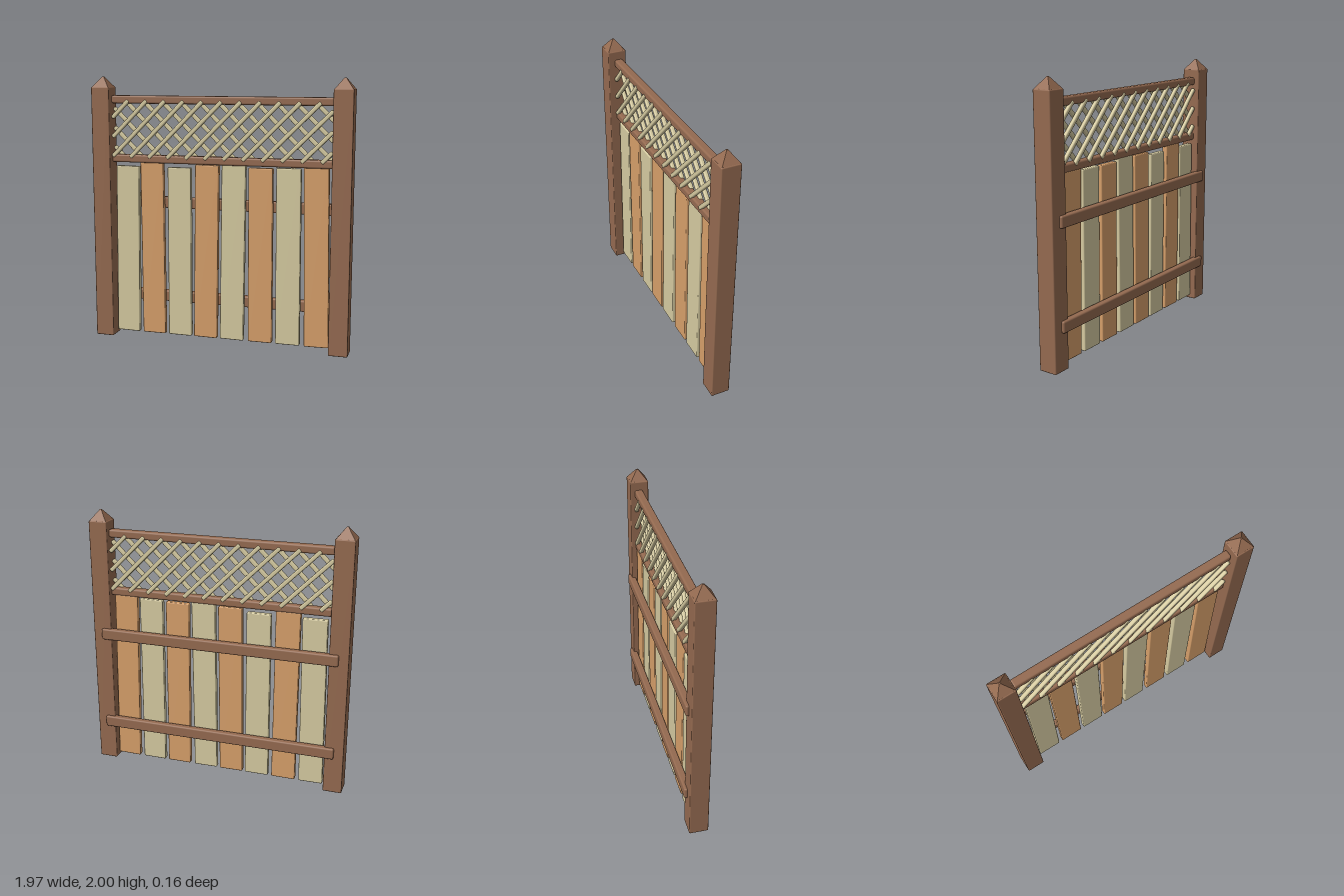
import * as THREE from 'three';
import { RoundedBoxGeometry } from 'three/addons/geometries/RoundedBoxGeometry.js';

export function createModel() {
  const fence = new THREE.Group();
  fence.name = 'fencePanel';

  const brown = new THREE.MeshStandardMaterial({ color: 0x946a50 });
  brown.name = 'dark brown wood';
  const orange = new THREE.MeshStandardMaterial({ color: 0xd69f6a });
  orange.name = 'orange wood';
  const cream = new THREE.MeshStandardMaterial({ color: 0xd5caa0 });
  cream.name = 'cream wood';

  // A softened wooden bar centred on (x, y, z), turned about z
  function bar(name, material, [w, h, d], [x, y, z], radius, turn = 0, parent = fence) {
    const mesh = new THREE.Mesh(new RoundedBoxGeometry(w, h, d, 2, radius), material);
    mesh.name = name;
    mesh.position.set(x, y, z);
    mesh.rotation.z = turn;
    parent.add(mesh);
    return mesh;
  }

  // Posts with pointed caps
  const capGeometry = new THREE.CylinderGeometry(0.008, 0.067 * Math.SQRT2, 0.08, 4).toNonIndexed();
  capGeometry.rotateY(Math.PI / 4);
  capGeometry.computeVertexNormals();
  for (const side of [-1, 1]) {
    const post = new THREE.Group();
    post.name = side > 0 ? 'leftPost' : 'rightPost';
    bar('postBody', brown, [0.142, 1.923, 0.142], [0, 0.9615, 0], 0.008, 0, post);
    const cap = new THREE.Mesh(capGeometry, brown);
    cap.name = 'postCap';
    cap.position.y = 1.96;
    post.add(cap);
    post.position.set(side * 0.913, 0, 0.01);
    fence.add(post);
  }

  // Rails behind the planks
  for (const y of [0.323, 1.055]) {
    bar('backRail', brown, [1.826, 0.085, 0.052], [0, y, -0.057], 0.012);
  }

  // Rails above and below the lattice
  for (const y of [1.389, 1.831]) {
    bar('latticeRail', brown, [1.684, 0.06, 0.062], [0, y, 0.003], 0.014);
  }

  // Planks: centre x, top y, lean
  const planks = [
    [-0.731, 1.33, -0.010], [-0.527, 1.365, 0.004], [-0.313, 1.33, -0.001], [-0.103, 1.355, -0.011],
    [0.103, 1.365, -0.011], [0.314, 1.347, 0.002], [0.523, 1.352, 0.004], [0.732, 1.365, 0.016],
  ];
  const bottom = 0.034;
  planks.forEach(([x, top, lean], i) => {
    bar('plank', i % 2 ? orange : cream, [0.182, top - bottom, 0.045],
      [x, (top + bottom) / 2, -0.003], 0.008, lean);
  });

  // Lattice: diagonal slats clipped to the opening, mirrored for the rear layer
  const lattice = new THREE.Group();
  lattice.name = 'lattice';
  fence.add(lattice);
  const halfWidth = 0.83, low = 1.405, high = 1.817;
  for (let k = 0; k < 14; k++) {
    const offset = -2.53 + 0.1455 * k; // x - y along the slat
    const x0 = Math.max(-halfWidth, low + offset);
    const x1 = Math.min(halfWidth, high + offset);
    const length = (x1 - x0) * Math.SQRT2 + 0.02;
    const x = (x0 + x1) / 2;
    for (const dir of [1, -1]) {
      bar(dir > 0 ? 'frontSlat' : 'rearSlat', cream, [length, 0.031, 0.03],
        [dir * x, x - offset, 0.003 + dir * 0.021], 0.01, dir * Math.PI / 4, lattice);
    }
  }

  return fence;
}
